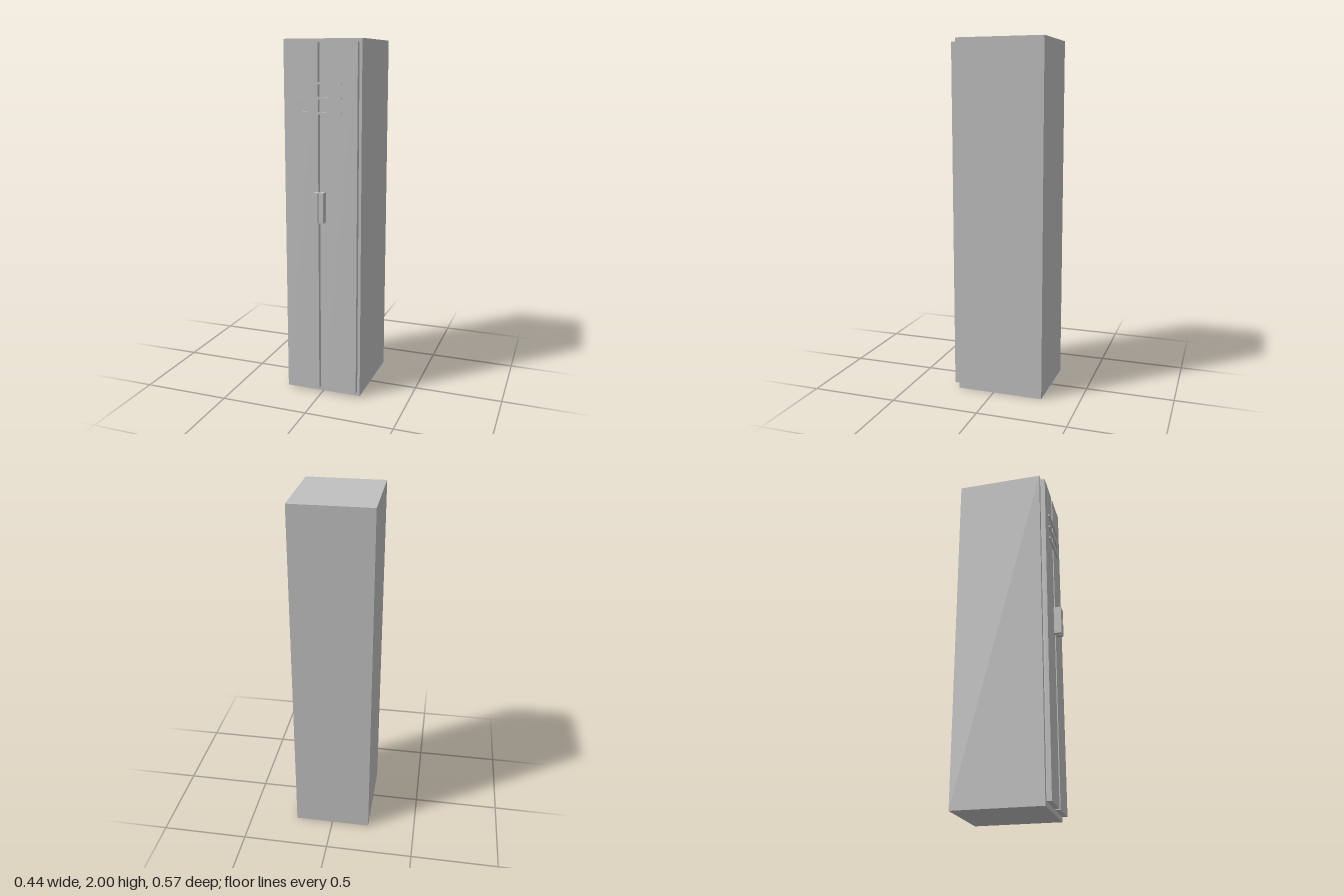
import * as THREE from 'three';

export function createModel() {
  const locker = new THREE.Group();
  locker.name = 'locker';
  const greyMetal = new THREE.MeshStandardMaterial({ color: 0xc0c0c0 });
  greyMetal.name = 'grey metal';

  // Box given by its lower and upper bounds
  const addBox = (name, [x0, y0, z0], [x1, y1, z1]) => {
    const mesh = new THREE.Mesh(new THREE.BoxGeometry(x1 - x0, y1 - y0, z1 - z0), greyMetal);
    mesh.position.set((x0 + x1) / 2, (y0 + y1) / 2, (z0 + z1) / 2);
    mesh.name = name;
    locker.add(mesh);
    return mesh;
  };

  // Cabinet body
  addBox('cabinet', [-0.222, 0, -0.286], [0.222, 2, 0.213]);

  // Pair of doors with upright handles beside the central gap
  for (const [side, s] of [['left', 1], ['right', -1]]) {
    const door = addBox(side + 'Door', [0.0145, 0.025, 0.215], [0.2075, 1.98, 0.243]);
    const handle = addBox(side + 'Handle', [0.0025, 1.02, 0.242], [0.0295, 1.187, 0.286]);
    door.position.x *= s;
    handle.position.x *= s;
  }

  // Three vent slats across the upper part of the doors
  for (let i = 0; i < 3; i++) {
    const y = 1.613 + i * 0.0785;
    addBox('ventSlat' + (i + 1), [-0.122, y - 0.006, 0.241], [0.122, y + 0.006, 0.252]);
  }

  return locker;
}
